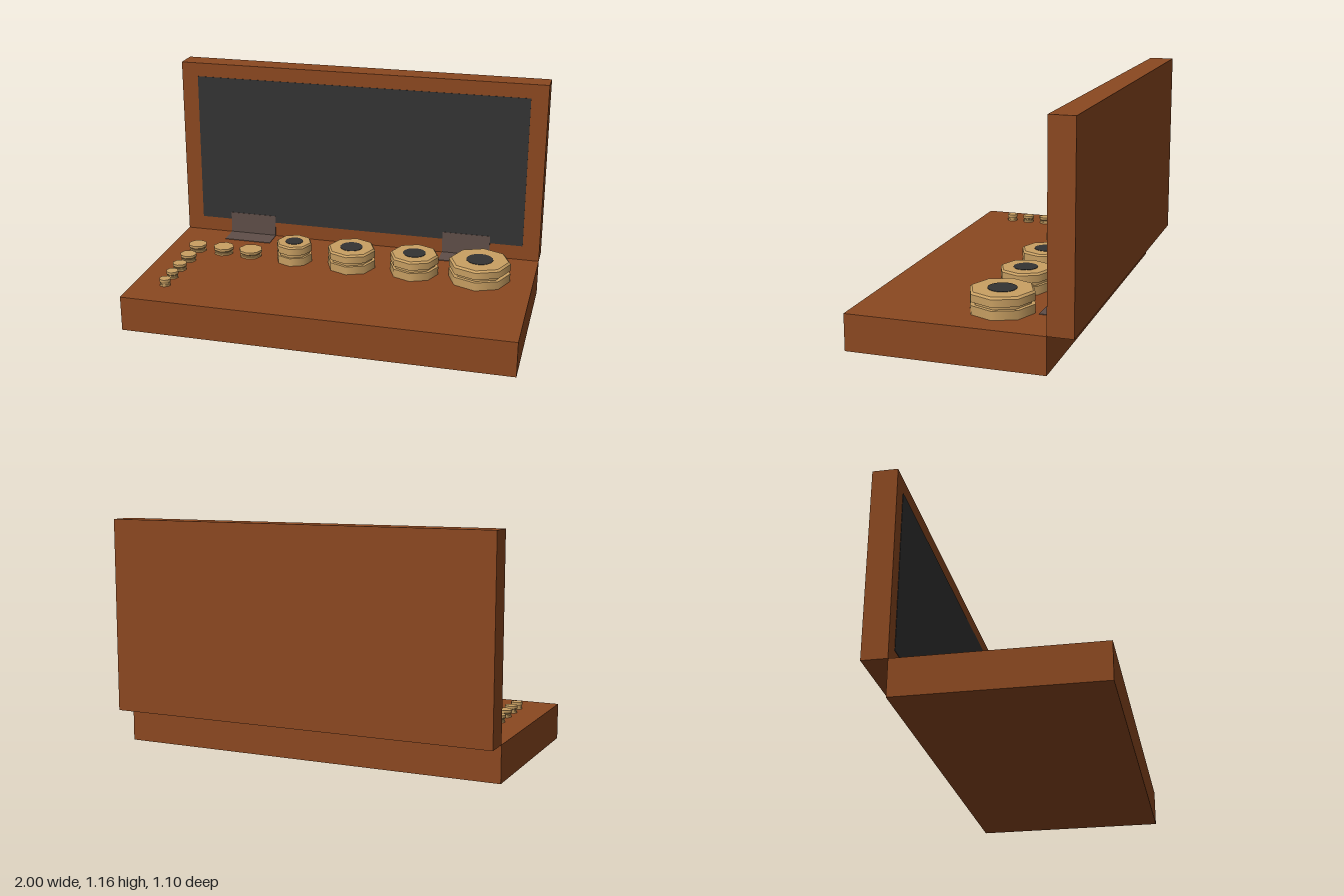
import * as THREE from 'three';

const mat = (name, color) => {
  const m = new THREE.MeshStandardMaterial({ color });
  m.name = name;
  return m;
};

export function createModel() {
  const wood = mat('brown wood', 0x8b4820);
  const felt = mat('dark felt', 0x333333);
  const steel = mat('hinge steel', 0x5f4e48);
  const brass = mat('brass', 0xc9a063);

  const model = new THREE.Group();
  model.name = 'weightBox';

  const add = (parent, name, geometry, material, x, y, z) => {
    const mesh = new THREE.Mesh(geometry, material);
    mesh.name = name;
    mesh.position.set(x, y, z);
    parent.add(mesh);
    return mesh;
  };
  // Box given by its minimum and maximum corners
  const box = (name, material, [x0, y0, z0], [x1, y1, z1], parent = model) =>
    add(parent, name, new THREE.BoxGeometry(x1 - x0, y1 - y0, z1 - z0), material,
      (x0 + x1) / 2, (y0 + y1) / 2, (z0 + z1) / 2);

  const top = 0.183, back = -0.425;

  // Case: base block, upright lid and its lining
  box('base', wood, [-1, 0, back], [1, top, 0.55]);
  box('lid', wood, [-1, top, -0.55], [1, 1.16, back]);
  box('lidLining', felt, [-0.91, 0.262, back], [0.91, 1.085, back + 0.002]);

  // Hinges: one leaf on the base, one on the lid
  for (const [side, x] of [['right', -0.61], ['left', 0.603]]) {
    const hinge = new THREE.Group();
    hinge.name = side + 'Hinge';
    model.add(hinge);
    box('baseLeaf', steel, [x - 0.13, top, back], [x + 0.13, top + 0.003, -0.307], hinge);
    box('lidLeaf', steel, [x - 0.13, top, back], [x + 0.13, 0.302, back + 0.004], hinge);
  }

  // Weight: stacked eight-sided rings, each [bottom radius, top radius, height share]
  const weight = (name, x, z, radius, height, rings) => {
    const group = new THREE.Group();
    group.name = name;
    group.position.set(x, top, z);
    model.add(group);
    let y = 0;
    rings.forEach(([r0, r1, share], i) => {
      const h = height * share;
      add(group, 'ring' + (i + 1),
        new THREE.CylinderGeometry(radius * r1, radius * r0, h, 8), brass, 0, y + h / 2, 0);
      y += h;
    });
    return group;
  };

  // Large weights with a dark recess disc on top
  const largeRings = [[1, 1, 0.41], [0.87, 0.87, 0.16], [1, 1, 0.34], [1, 0.93, 0.09]];
  const large = [[0.72, 0.161, 0.07], [0.375, 0.129, 0.06], [0.035, 0.129, 0.06], [-0.282, 0.097, 0.047]];
  for (const [x, r, hole] of large) {
    const group = weight('largeWeight', x, -0.125, r, 0.107, largeRings);
    add(group, 'recess', new THREE.CylinderGeometry(hole, hole, 0.004, 16), felt, 0, 0.107, 0);
  }

  // Small weights along the back row and down the side
  const smallRings = [[0.95, 0.95, 0.25], [0.8, 0.8, 0.2], [0.85, 1, 0.2], [1, 1, 0.35]];
  const small = [
    [-0.53, -0.125, 0.064], [-0.685, -0.125, 0.056], [-0.835, -0.125, 0.05],
    [-0.835, 0.02, 0.045], [-0.835, 0.147, 0.038], [-0.835, 0.253, 0.033], [-0.835, 0.353, 0.03],
  ];
  for (const [x, z, r] of small) weight('smallWeight', x, z, r, 0.037, smallRings);

  return model;
}
